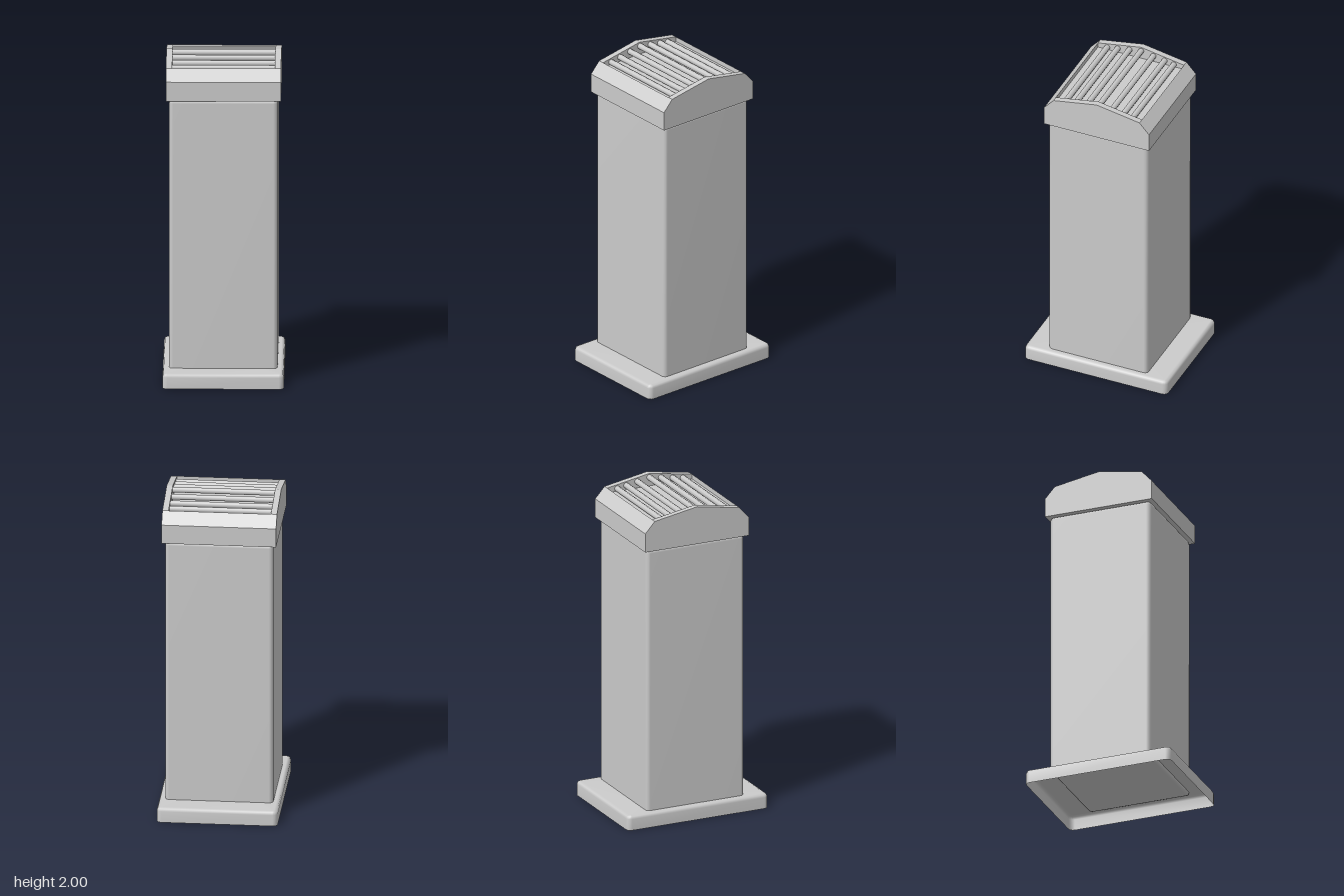
import * as THREE from 'three';

const material = new THREE.MeshStandardMaterial({ color: 0xcccccc, side: THREE.DoubleSide });

function part(name, geometry) {
  const mesh = new THREE.Mesh(geometry, material);
  mesh.name = name;
  return mesh;
}

// Upright shell of stacked rounded rectangles, closed on top and optionally below.
// Each ring is [y, inset from the full outline].
function roundedShell(halfX, halfZ, radius, rings, closedBelow) {
  const positions = [], index = [];
  const steps = 3, count = 4 * (steps + 1);
  for (const [y, inset] of rings) {
    const r = Math.max(radius - inset, 0.006);
    for (let c = 0; c < 4; c++) {
      const sx = c === 0 || c === 3 ? 1 : -1, sz = c < 2 ? 1 : -1;
      for (let s = 0; s <= steps; s++) {
        const a = (c + s / steps) * Math.PI / 2;
        positions.push(
          sx * (halfX - inset - r) + r * Math.cos(a), y,
          sz * (halfZ - inset - r) + r * Math.sin(a));
      }
    }
  }
  const last = rings.length - 1, top = last * count, centre = positions.length / 3;
  positions.push(0, rings[last][0], 0, 0, rings[0][0], 0);
  for (let i = 0; i < count; i++) {
    const next = (i + 1) % count;
    for (let k = 0; k < top; k += count) {
      index.push(k + i, k + i + count, k + next, k + next, k + i + count, k + next + count);
    }
    index.push(top + i, centre, top + next);
    if (closedBelow) index.push(i, next, centre + 1);
  }
  const geometry = new THREE.BufferGeometry();
  geometry.setAttribute('position', new THREE.Float32BufferAttribute(positions, 3));
  geometry.setIndex(index);
  geometry.computeVertexNormals();
  return geometry;
}

// Extrude a (z, y) profile along x, centred on the given x.
function alongX(points, width, x) {
  const shape = new THREE.Shape(points.map(([z, y]) => new THREE.Vector2(z, y)));
  const geometry = new THREE.ExtrudeGeometry(shape, { depth: width, bevelEnabled: false });
  return geometry.translate(0, 0, -width / 2).rotateY(-Math.PI / 2).translate(x, 0, 0);
}

export function createModel() {
  const model = new THREE.Group();
  model.name = 'ventPedestal';

  // Hollow foot plate, and a closed column sunk slightly into it
  model.add(part('base', roundedShell(0.366, 0.472, 0.03,
    [[0, 0], [0.07, 0], [0.085, 0.006], [0.092, 0.022]], false)));
  model.add(part('column', roundedShell(0.327, 0.327, 0.025,
    [[0.072, 0.022], [0.079, 0.006], [0.095, 0], [1.74, 0], [1.756, 0.006], [1.763, 0.022]], true)));

  // Cap: two gable ends and a body with a sunken tray between them
  const cap = new THREE.Group();
  cap.name = 'cap';
  const lower = [[-0.347, 1.761], [0.347, 1.761], [0.347, 1.88], [0.284, 1.95]];
  const upper = [[-0.284, 1.95], [-0.347, 1.88]];
  for (const side of [-1, 1]) {
    cap.add(part(side > 0 ? 'leftGable' : 'rightGable',
      alongX([...lower, [0, 2], ...upper], 0.037, side * 0.3285)));
  }
  cap.add(part('capBody',
    alongX([...lower, [0.284, 1.92], [-0.284, 1.92], ...upper], 0.62, 0)));
  model.add(cap);

  // Louvre bars following the slope of the gables
  const grille = new THREE.Group();
  grille.name = 'grille';
  const bar = new THREE.CylinderGeometry(0.018, 0.018, 0.62, 8).rotateZ(Math.PI / 2);
  for (const z of [-0.218, -0.157, -0.083, -0.002, 0.075, 0.153, 0.222]) {
    const mesh = part('bar', bar);
    mesh.position.set(0, 1.976 - Math.abs(z) * 0.175, z);
    grille.add(mesh);
  }
  model.add(grille);

  return model;
}
